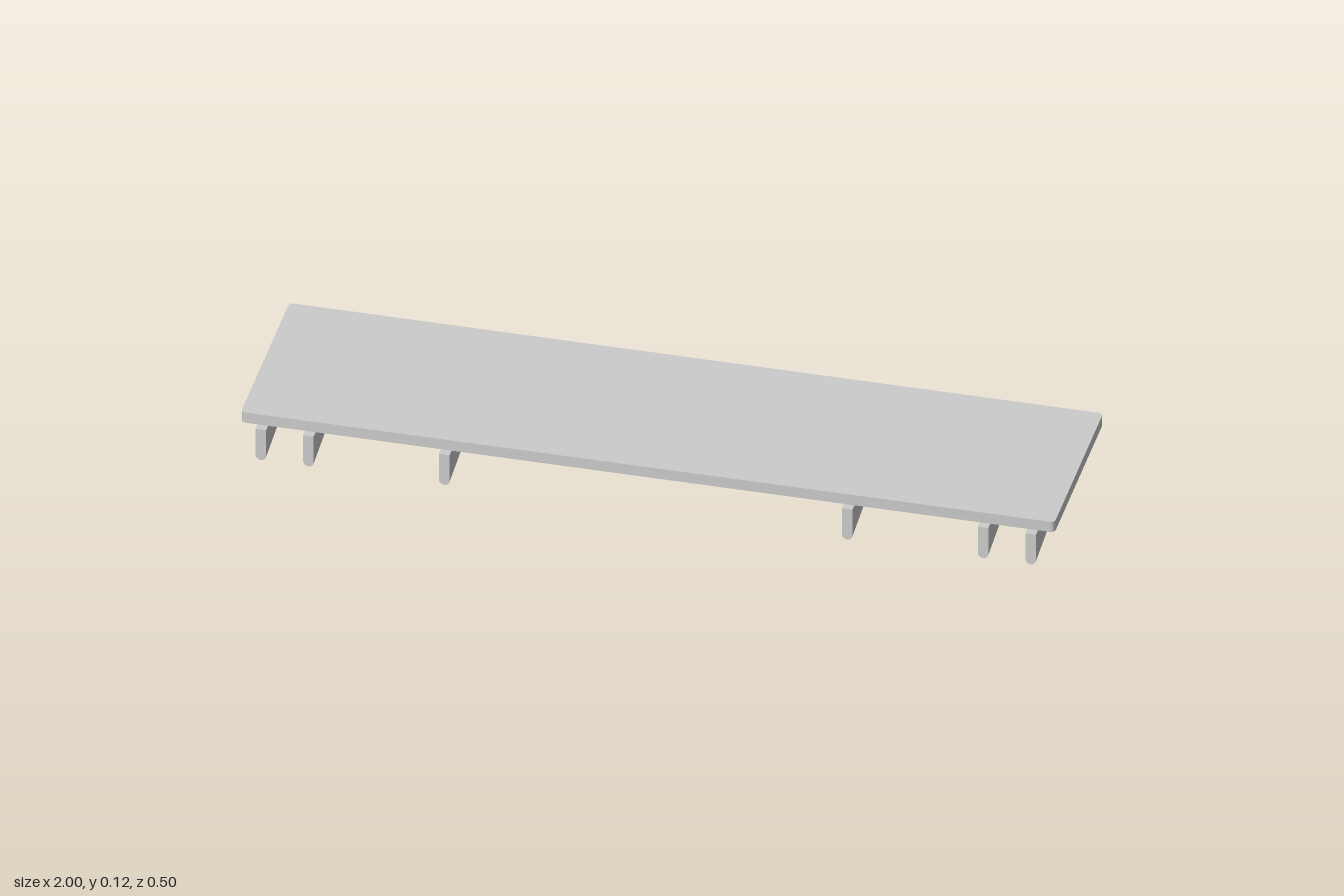
import * as THREE from 'three';
import { toCreasedNormals } from 'three/addons/utils/BufferGeometryUtils.js';

const material = new THREE.MeshStandardMaterial({ color: 0xcccccc });

// Flat board with slightly rounded vertical corners
function boardGeometry(x, z0, z1, y0, y1, r) {
  const s = new THREE.Shape();
  s.absarc(x - r, -z0 - r, r, 0, Math.PI / 2);
  s.absarc(-x + r, -z0 - r, r, Math.PI / 2, Math.PI);
  s.absarc(-x + r, -z1 + r, r, Math.PI, Math.PI * 1.5);
  s.absarc(x - r, -z1 + r, r, Math.PI * 1.5, Math.PI * 2);
  const g = new THREE.ExtrudeGeometry(s, { depth: y1 - y0, bevelEnabled: false, curveSegments: 6 });
  g.rotateX(-Math.PI / 2).translate(0, y0, 0);
  return toCreasedNormals(g, 0.6);
}

// Tapered bracket: half-round underside that rises to the back and turns up at its tip
function bracketGeometry() {
  const half = 0.013, R = 0.016, front = 0.253, back = -0.207, top = 0.087;
  const slope = 0.135, N = 12, ARC = 8;
  const cz = back + R;
  const cy = Math.tan(slope) * (front - cz) + R / Math.cos(slope);

  // Lower outlines, inset more towards each side
  const rows = [];
  for (let i = 0; i <= N; i++) {
    const a = (i / N - 0.5) * Math.PI;
    const x = half * Math.sin(a), inset = half * (1 - Math.cos(a)), r = R - inset;
    const row = [[x, inset / Math.cos(slope), front]];
    for (let k = 0; k <= ARC; k++) {
      const p = slope + (Math.PI / 2 - slope) * k / ARC;
      row.push([x, cy - r * Math.cos(p), cz - r * Math.sin(p)]);
    }
    row.push([x, top, cz - r]);
    rows.push(row);
  }

  const pos = [], index = [], cols = rows[0].length;
  rows.flat().forEach(p => pos.push(...p));
  for (let i = 0; i < N; i++) {
    for (let j = 0; j < cols - 1; j++) {
      const a = i * cols + j, b = a + cols;
      index.push(a, a + 1, b, b, a + 1, b + 1);
    }
  }

  // Flat faces with their own vertices, so their edges stay sharp
  const addFace = pts => {
    const s = pos.length / 3;
    pts.forEach(p => pos.push(...p));
    for (let i = 1; i < pts.length - 1; i++) index.push(s, s + i, s + i + 1);
  };
  const topLeft = [-half, top, front], topRight = [half, top, front];
  addFace([topRight, ...rows[N]]);
  addFace([topLeft, ...rows[0].slice().reverse()]);
  addFace([topLeft, ...rows.map(r => r[0]), topRight]);
  addFace([topLeft, topRight, ...rows.map(r => r[cols - 1]).reverse()]);

  const g = new THREE.BufferGeometry();
  g.setAttribute('position', new THREE.Float32BufferAttribute(pos, 3));
  g.setIndex(index);
  g.computeVertexNormals();
  return g;
}

export function createModel() {
  const model = new THREE.Group();
  model.name = 'shelf';

  const board = new THREE.Mesh(boardGeometry(1, -0.252, 0.233, 0.087, 0.116, 0.012), material);
  board.name = 'board';
  model.add(board);

  // Three brackets mirrored to each side
  const geometry = bracketGeometry();
  for (const side of [-1, 1]) {
    [0.495, 0.829, 0.946].forEach((x, i) => {
      const bracket = new THREE.Mesh(geometry, material);
      bracket.name = `${side > 0 ? 'left' : 'right'}Bracket${i + 1}`;
      bracket.position.x = side * x;
      model.add(bracket);
    });
  }
  return model;
}
